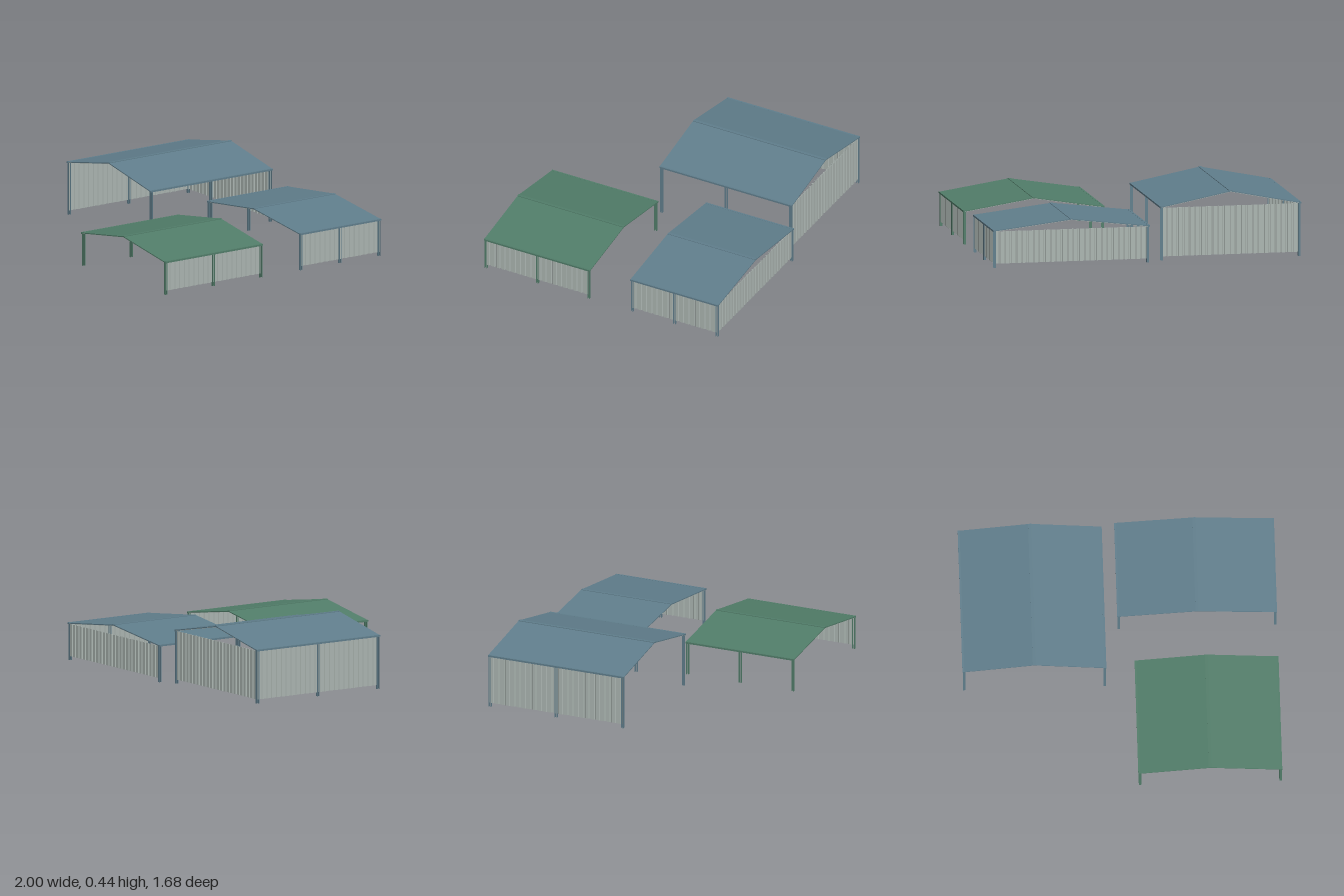
import * as THREE from 'three';

const mat = (name, color) => new THREE.MeshStandardMaterial({ name, color });

export function createModel() {
  const blue = mat('blue steel', 0x607e8c);
  const green = mat('green steel', 0x517d69);
  const grey = mat('pale cladding', 0xabb5b1);

  const group = new THREE.Group();
  group.name = 'shelters';

  const add = (parent, name, geometry, material, x, y, z) => {
    const mesh = new THREE.Mesh(geometry, material);
    mesh.name = name;
    mesh.position.set(x, y, z);
    parent.add(mesh);
    return mesh;
  };
  const box = (parent, name, material, w, h, d, x, y, z) =>
    add(parent, name, new THREE.BoxGeometry(w, h, d), material, x, y, z);

  const extrude = (points, depth) => new THREE.ExtrudeGeometry(
    new THREE.Shape(points.map(p => new THREE.Vector2(...p))), { depth, bevelEnabled: false });

  // Gable sheet running along z, from its top edge down by a thickness
  const gable = (half, eave, ridge, t, depth) => extrude([
    [-half, eave - t], [0, ridge - t], [half, eave - t],
    [half, eave], [0, ridge], [-half, eave],
  ], depth);

  // Ribbed sheet wall along x: a trapezoid wave in plan, extruded upward
  const sheetWall = (length, top) => {
    const bottom = 0.025, n = Math.round(length / 0.037), step = length / n;
    const wave = [];
    for (let i = 0; i < n; i++) {
      const x = -length / 2 + i * step;
      wave.push([x, -0.003], [x + step * 0.62, -0.003], [x + step * 0.72, 0.003], [x + step * 0.9, 0.003]);
    }
    wave.push([length / 2, -0.003]);
    const inner = wave.map(([x, y]) => [x, y + 0.002]).reverse();
    const geo = extrude([...wave, ...inner], top - bottom);
    return geo.rotateX(-Math.PI / 2).translate(0, bottom, 0);
  };

  const shelter = ({ name, x0, x1, z0, z1, eave, ridge, steel, side, back }) => {
    const g = new THREE.Group();
    g.name = name;
    const cx = (x0 + x1) / 2, cz = (z0 + z1) / 2;
    const half = (x1 - x0) / 2, depth = z1 - z0;
    const inset = 0.011, px = half - inset, pz = depth / 2 - inset;

    // Roof sheet, and a pale lining beneath it
    add(g, 'roof', gable(half, eave, ridge, 0.006, depth), steel, cx, 0, z0);
    add(g, 'roofLining', gable(half - 0.002, eave - 0.006, ridge - 0.006, 0.002, depth - 0.004),
      grey, cx, 0, z0 + 0.002);

    // Flat ridge cap and eave trims
    box(g, 'ridgeCap', steel, 0.02, 0.006, depth, cx, ridge - 0.001, cz);
    for (const s of [-1, 1]) {
      box(g, 'eaveTrim', steel, 0.012, 0.011, depth, cx + s * (half - 0.006), eave - 0.003, cz);
    }

    // Three posts along each side, each a pair of steel flanges
    const top = eave - 0.004;
    for (const s of [-1, 1]) {
      for (const k of [-1, 0, 1]) {
        for (const f of [-1, 1]) {
          box(g, 'postFlange', steel, 0.016, top, 0.003, cx + s * px, top / 2, cz + k * pz + f * 0.0065);
        }
      }
    }

    // Walls, ribs standing toward the inside
    const sideWall = add(g, 'sideWall', sheetWall(2 * pz, eave - 0.007), grey, cx + side * px, 0, cz);
    sideWall.rotation.y = side * Math.PI / 2;
    if (back) {
      const backWall = add(g, 'backWall', sheetWall(2 * px, eave - 0.007), grey, cx, 0, cz - pz);
      backWall.rotation.y = Math.PI;
    }
    group.add(g);
  };

  shelter({ name: 'tallShelter', x0: -1, x1: -0.09, z0: -0.78, z1: 0.17,
    eave: 0.343, ridge: 0.433, steel: blue, side: -1, back: true });
  shelter({ name: 'wideShelter', x0: -0.01, x1: 1, z0: -0.84, z1: -0.21,
    eave: 0.238, ridge: 0.298, steel: blue, side: 1, back: true });
  shelter({ name: 'lowShelter', x0: 0.09, x1: 1, z0: 0.08, z1: 0.84,
    eave: 0.215, ridge: 0.287, steel: green, side: 1, back: false });

  return group;
}
